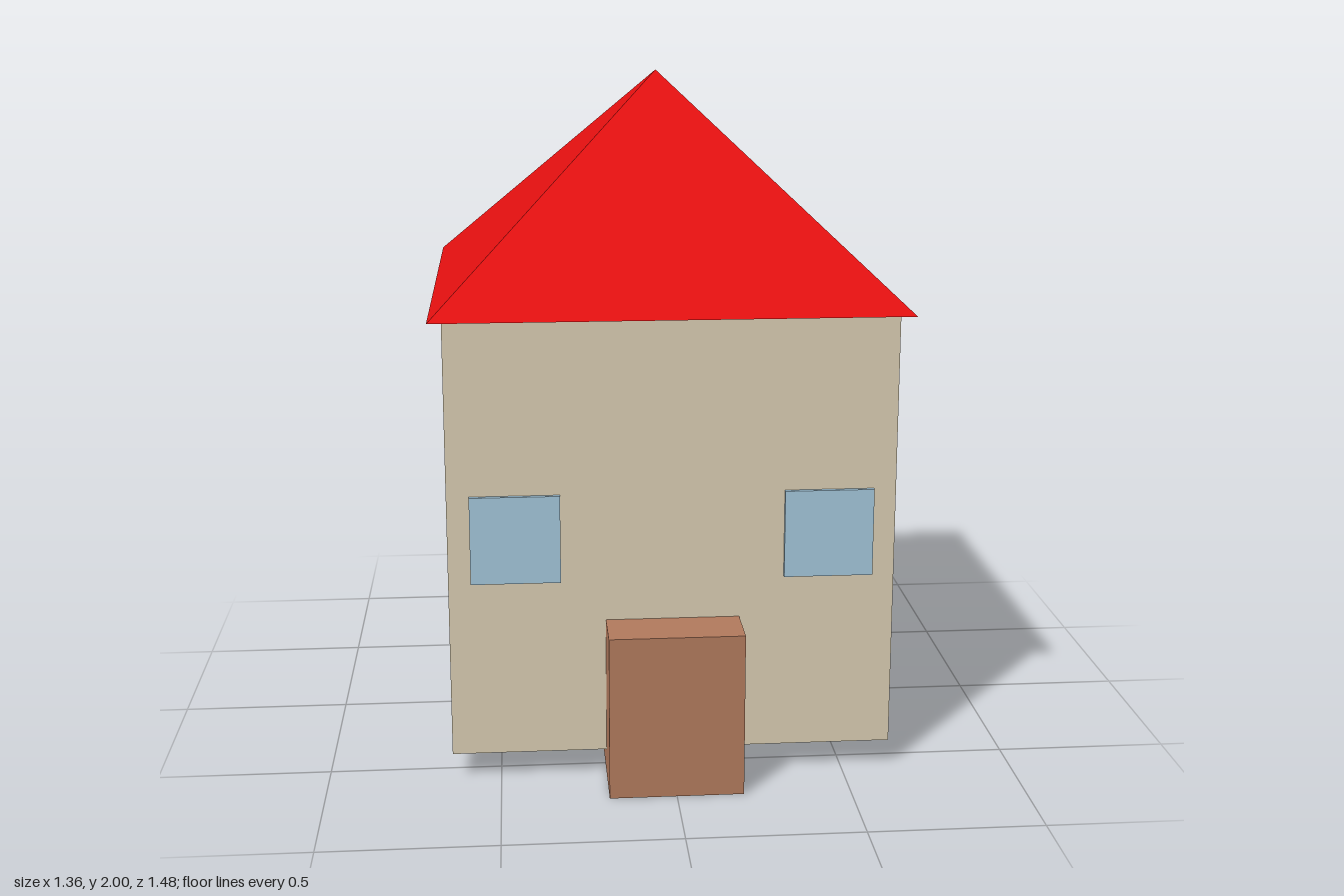
import * as THREE from 'three';

export function createModel() {
  const house = new THREE.Group();
  house.name = 'house';

  const material = (name, color) => {
    const m = new THREE.MeshStandardMaterial({ color, flatShading: true });
    m.name = name;
    return m;
  };
  const wallBeige = material('wallBeige', 0xd6cab0);
  const roofRed = material('roofRed', 0xe21010);
  const doorBrown = material('doorBrown', 0xb0795c);
  const windowBlue = material('windowBlue', 0xa1c3d7);

  const add = (name, geometry, mat, x, y, z) => {
    const mesh = new THREE.Mesh(geometry, mat);
    mesh.name = name;
    mesh.position.set(x, y, z);
    house.add(mesh);
    return mesh;
  };

  const size = 1.28;     // edge of the cubic body
  const centreZ = -0.06; // the door sticks out, so the body sits back
  const frontZ = centreZ + size / 2;

  // Cubic body, raised a little above the door's foot
  add('walls', new THREE.BoxGeometry(size, size, size), wallBeige, 0, 0.08 + size / 2, centreZ);

  // Four-sided pyramid roof with a small overhang
  const roof = new THREE.ConeGeometry(0.96, 0.64, 4);
  roof.rotateY(Math.PI / 4);
  add('roof', roof, roofRed, 0, 1.68, centreZ);

  // Door block, half sunk into the front wall
  add('door', new THREE.BoxGeometry(0.385, 0.48, 0.32), doorBrown, 0, 0.24, frontZ);

  // Pair of windows on the front wall
  for (const [name, side] of [['leftWindow', 1], ['rightWindow', -1]]) {
    add(name, new THREE.BoxGeometry(0.256, 0.256, 0.026), windowBlue, side * 0.448, 0.728, frontZ);
  }

  return house;
}
